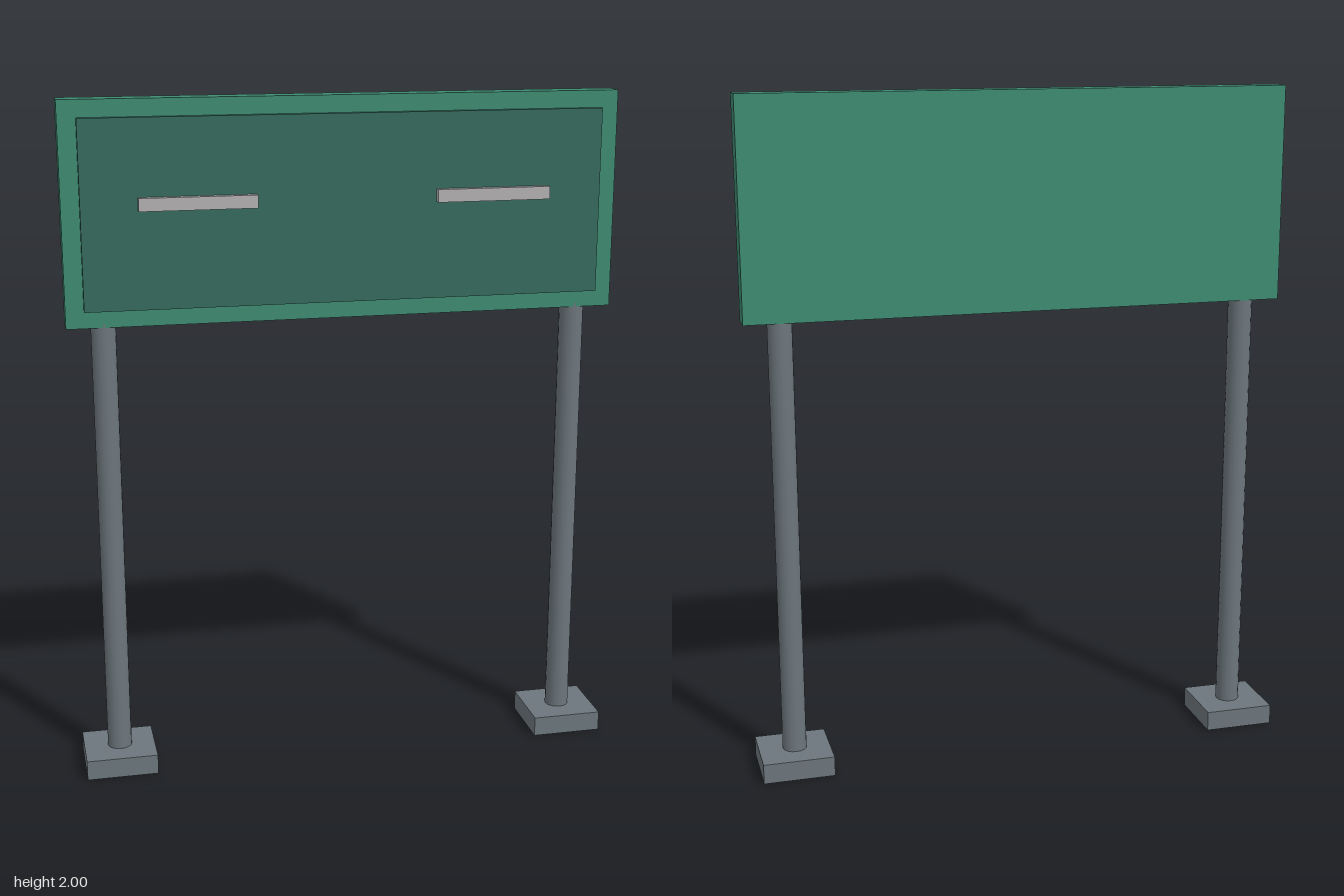
import * as THREE from 'three';

const mat = (name, color) => {
  const m = new THREE.MeshStandardMaterial({ color });
  m.name = name;
  return m;
};

export function createModel() {
  const green = mat('panel green', 0x3f8c72);
  const darkGreen = mat('dark green', 0x366a5e);
  const steel = mat('steel grey', 0x6c767c);
  const pale = mat('pale grey', 0xb2b0b1);

  const model = new THREE.Group();
  model.name = 'signboard';

  const add = (name, geometry, material, x, y, z) => {
    const mesh = new THREE.Mesh(geometry, material);
    mesh.name = name;
    mesh.position.set(x, y, z);
    model.add(mesh);
  };

  // Board with a raised face plate
  add('board', new THREE.BoxGeometry(1.614, 0.636, 0.073), green, 0, 1.682, -0.001);
  add('facePlate', new THREE.BoxGeometry(1.51, 0.537, 0.02), darkGreen, 0, 1.682, 0.0445);

  // Mirrored posts, feet and front bars
  for (const [side, s] of [['left', 1], ['right', -1]]) {
    add(side + 'Foot', new THREE.BoxGeometry(0.212, 0.06, 0.206), steel, s * 0.701, 0.03, 0);
    add(side + 'Post', new THREE.CylinderGeometry(0.036, 0.036, 1.315, 16), steel, s * 0.7, 0.7175, 0);
    add(side + 'Bar', new THREE.BoxGeometry(0.335, 0.037, 0.022), pale, s * 0.428, 1.713, 0.0645);
  }
  return model;
}
